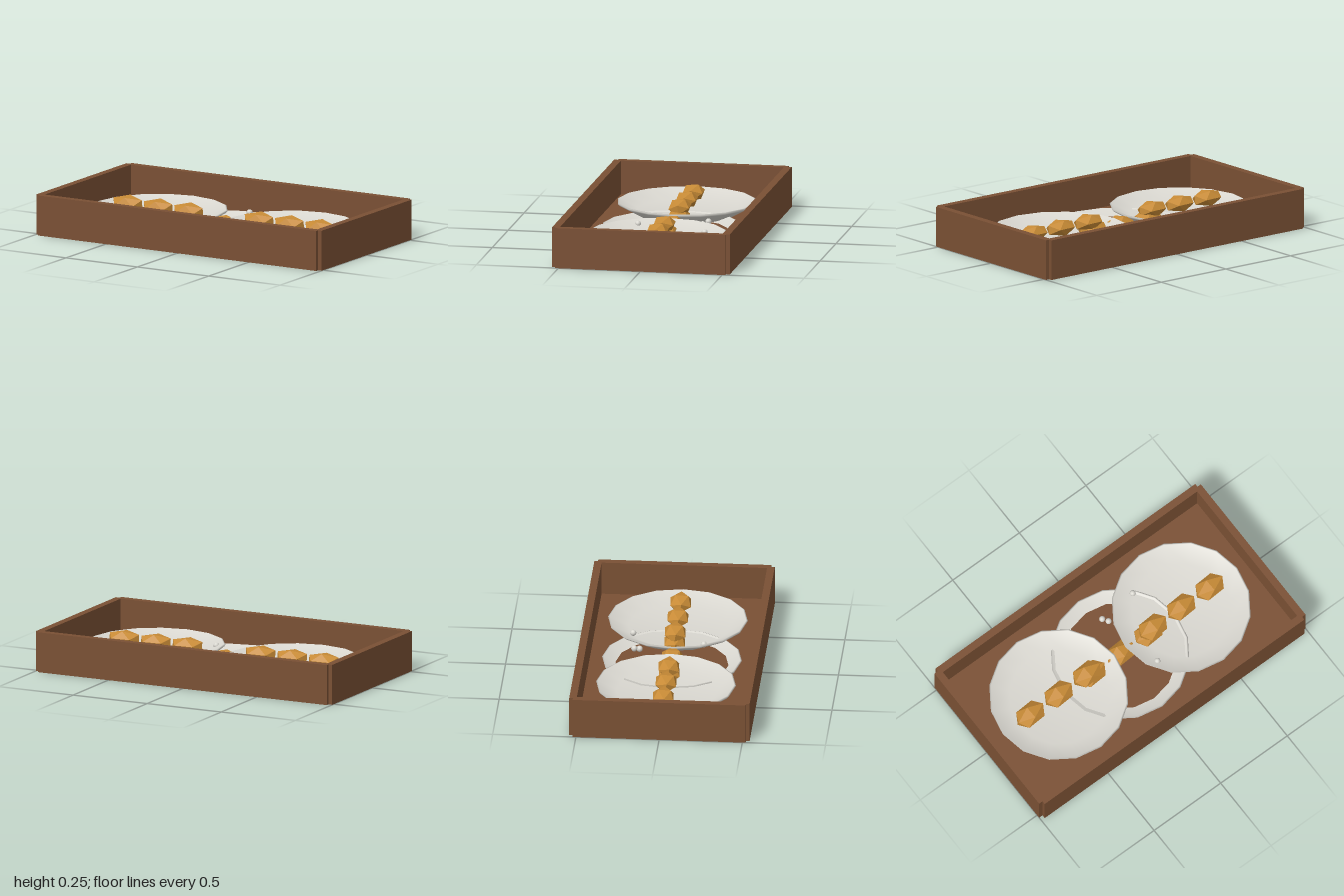
import * as THREE from 'three';

export function createModel() {
  const model = new THREE.Group();
  const mat = (name, color) => {
    const m = new THREE.MeshStandardMaterial({ color });
    m.name = name;
    return m;
  };
  const wood = mat('brown wood', 0x7a5034);
  const china = mat('off-white china', 0xd9d7d0);
  const golden = mat('golden crust', 0xc88b36);
  golden.flatShading = true;

  const add = (name, geometry, material, x, y, z) => {
    const mesh = new THREE.Mesh(geometry, material);
    mesh.name = name;
    mesh.position.set(x, y, z);
    model.add(mesh);
    return mesh;
  };

  // Open wooden tray: floor, two long walls and two short walls with notched corners
  const height = 0.245, wall = 0.045;
  add('trayFloor', new THREE.BoxGeometry(1.95, 0.038, 1.04), wood, 0, 0.021, 0);
  for (const s of [-1, 1]) {
    add(s > 0 ? 'frontWall' : 'backWall',
      new THREE.BoxGeometry(1.95, height, wall), wood, 0, height / 2, s * (0.542 - wall / 2));
    add(s > 0 ? 'leftWall' : 'rightWall',
      new THREE.BoxGeometry(wall, height, 1.04), wood, s * (1 - wall / 2), height / 2, 0);
  }

  // Shallow sixteen-sided plate, from underside to rim to inside
  const plate = new THREE.LatheGeometry([
    [0, 0], [0.3, 0], [0.41, 0.06], [0.42, 0.072], [0.41, 0.076], [0.3, 0.02], [0, 0.02],
  ].map(([r, y]) => new THREE.Vector2(r, y)), 16);

  // Faceted oblong nugget with points at its two ends
  const nugget = new THREE.IcosahedronGeometry(1, 0);
  nugget.rotateZ(Math.PI / 2).rotateX(0.12);
  nugget.scale(0.113, 0.052, 0.073).rotateY(0.06);

  // The middle plate is set into the floor; the outer two overlap it
  const settings = [['right', -0.46, 0.05], ['middle', 0, 0], ['left', 0.46, 0.05]];
  for (const [side, x, y] of settings) {
    add(side + 'Plate', plate, china, x, y, 0);
    for (const i of [-1, 0, 1]) {
      add(side + 'Nugget', nugget, golden, x + i * 0.213, y + 0.082, 0);
    }
  }

  // Loose beads scattered around the plates
  const bead = new THREE.SphereGeometry(0.019, 10, 8);
  const beads = [[0.04, 0.113, -0.23], [0.065, 0.1, -0.2], [0.288, 0.1, -0.255], [0.145, 0.105, 0.18]];
  for (const [x, y, z] of beads) add('bead', bead, china, x, y, z);

  return model;
}
